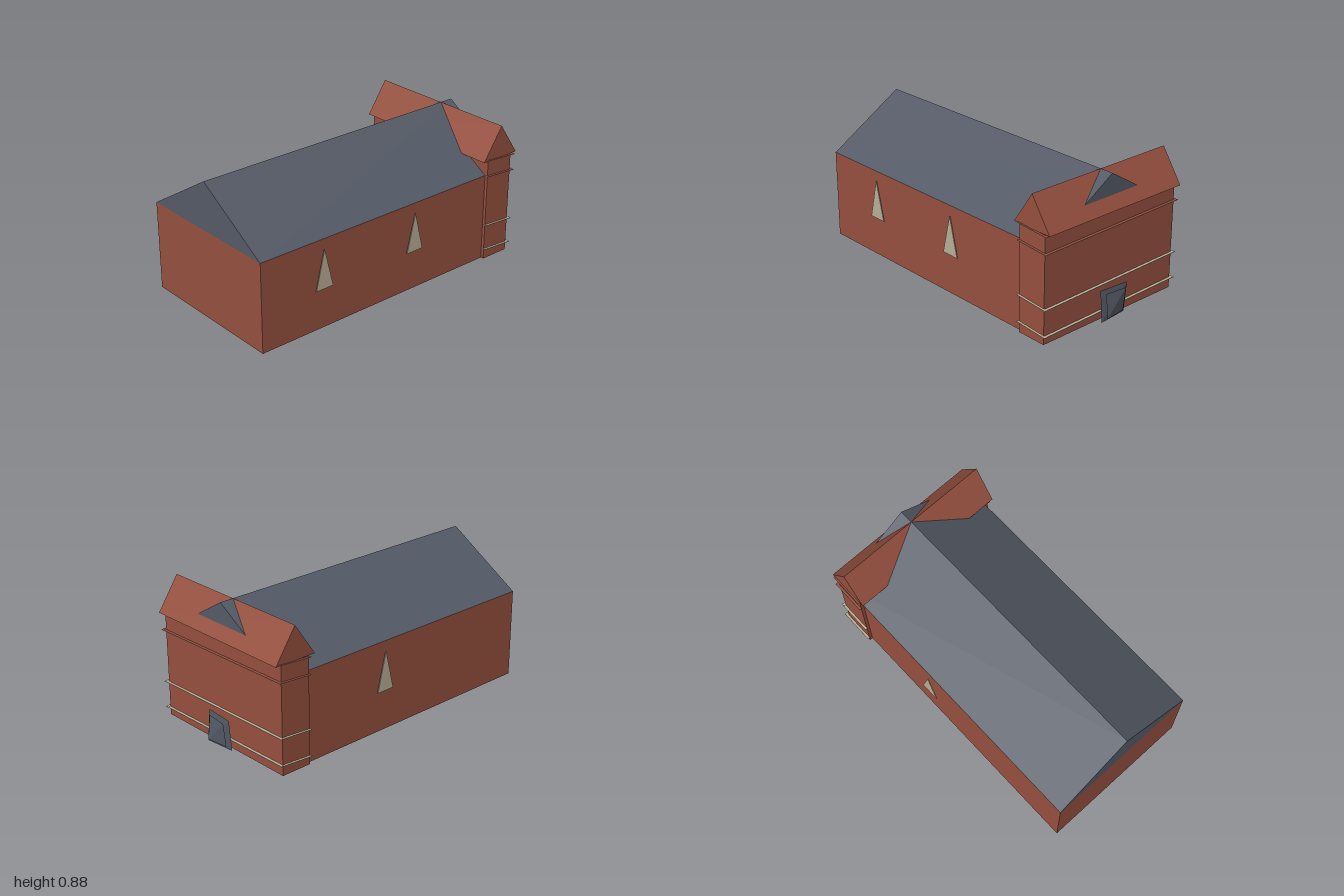
import * as THREE from 'three';

const brick = new THREE.MeshStandardMaterial({ color: 0x95503f });
brick.name = 'brick red';
const slate = new THREE.MeshStandardMaterial({ color: 0x545a66 });
slate.name = 'slate grey';
const sand = new THREE.MeshStandardMaterial({ color: 0xb9ae95 });
sand.name = 'sand';

function add(parent, name, geometry, material) {
  const mesh = new THREE.Mesh(geometry, material);
  mesh.name = name;
  parent.add(mesh);
  return mesh;
}

// Box given by its limits on each axis
function block(x0, x1, y0, y1, z0, z1) {
  return new THREE.BoxGeometry(x1 - x0, y1 - y0, z1 - z0)
    .translate((x0 + x1) / 2, (y0 + y1) / 2, (z0 + z1) / 2);
}

// Upright triangle extruded along z, standing on y = 0
function prism(halfWidth, height, depth) {
  const shape = new THREE.Shape([
    new THREE.Vector2(-halfWidth, 0),
    new THREE.Vector2(halfWidth, 0),
    new THREE.Vector2(0, height),
  ]);
  return new THREE.ExtrudeGeometry(shape, { depth, bevelEnabled: false });
}

// Warped door leaf facing +x: two opposite corners lean back; flip shows its rear
function leaf(halfWidth, y0, y1, xBack, xFront, flip) {
  const bl = [xFront, y0, halfWidth], br = [xBack, y0, -halfWidth];
  const tr = [xFront, y1, -halfWidth], tl = [xBack, y1, halfWidth];
  const corners = flip ? [bl, tr, br, bl, tl, tr] : [bl, br, tr, bl, tr, tl];
  const g = new THREE.BufferGeometry();
  g.setAttribute('position', new THREE.Float32BufferAttribute(corners.flat(), 3));
  g.computeVertexNormals();
  return g;
}

// Flat ledge strip between two points, running along x or z
function ledge(parent, name, a, b, topMaterial) {
  const from = new THREE.Vector3(...a), to = new THREE.Vector3(...b);
  const g = new THREE.BoxGeometry(0.018, 0.003, from.distanceTo(to));
  const mesh = add(parent, name, g, [sand, sand, topMaterial, sand, sand, sand]);
  mesh.position.copy(from).add(to).multiplyScalar(0.5);
  mesh.lookAt(to);
}

export function createModel() {
  const model = new THREE.Group();
  model.name = 'hall';

  // Long hall with its gabled roof
  add(model, 'hallWalls', block(-1, 0.93, 0, 0.57, -0.5, 0.5), brick);
  const roof = prism(0.5, 0.31, 1.93).rotateY(Math.PI / 2).translate(-1, 0.57, 0);
  add(model, 'hallRoof', roof, slate);

  // Cross wing at the entrance end
  add(model, 'entranceWing', block(0.74, 0.94, 0, 0.672, -0.52, 0.52), brick);
  add(model, 'wingRoof', prism(0.14, 0.206, 1.05).translate(0.84, 0.674, -0.525), brick);

  // Thin sloping ledges around three sides of the wing
  const ledges = new THREE.Group();
  ledges.name = 'wallLedges';
  model.add(ledges);
  [0.062, 0.23, 0.566, 0.672].forEach((y, i) => {
    const top = i < 2 ? sand : brick;
    const low = y - 0.008, high = y + 0.008;
    ledge(ledges, 'frontLedge', [0.735, high, 0.526], [0.962, low, 0.526], top);
    ledge(ledges, 'endLedge', [0.952, low, 0.53], [0.952, high, -0.53], top);
    ledge(ledges, 'backLedge', [0.962, high, -0.526], [0.735, low, -0.526], top);
  });

  // Narrow triangular windows: two in front, one behind
  for (const [x, z] of [[-0.56, 0.509], [0.14, 0.509], [0.14, -0.515]]) {
    add(model, 'window', prism(0.062, 0.25, 0.006).translate(x, 0.26, z), sand);
  }

  // Door: frame and raised panel standing off the wall
  const door = new THREE.Group();
  door.name = 'door';
  model.add(door);
  add(door, 'doorFrame', leaf(0.1, 0, 0.197, 0.963, 0.98, false), slate);
  add(door, 'doorFrameBack', leaf(0.1, 0, 0.197, 0.962, 0.979, true), slate);
  add(door, 'doorPanel', leaf(0.073, 0.022, 0.175, 0.983, 1, false), slate);
  add(door, 'doorPanelBack', leaf(0.073, 0.022, 0.175, 0.982, 0.999, true), sand);

  return model;
}
